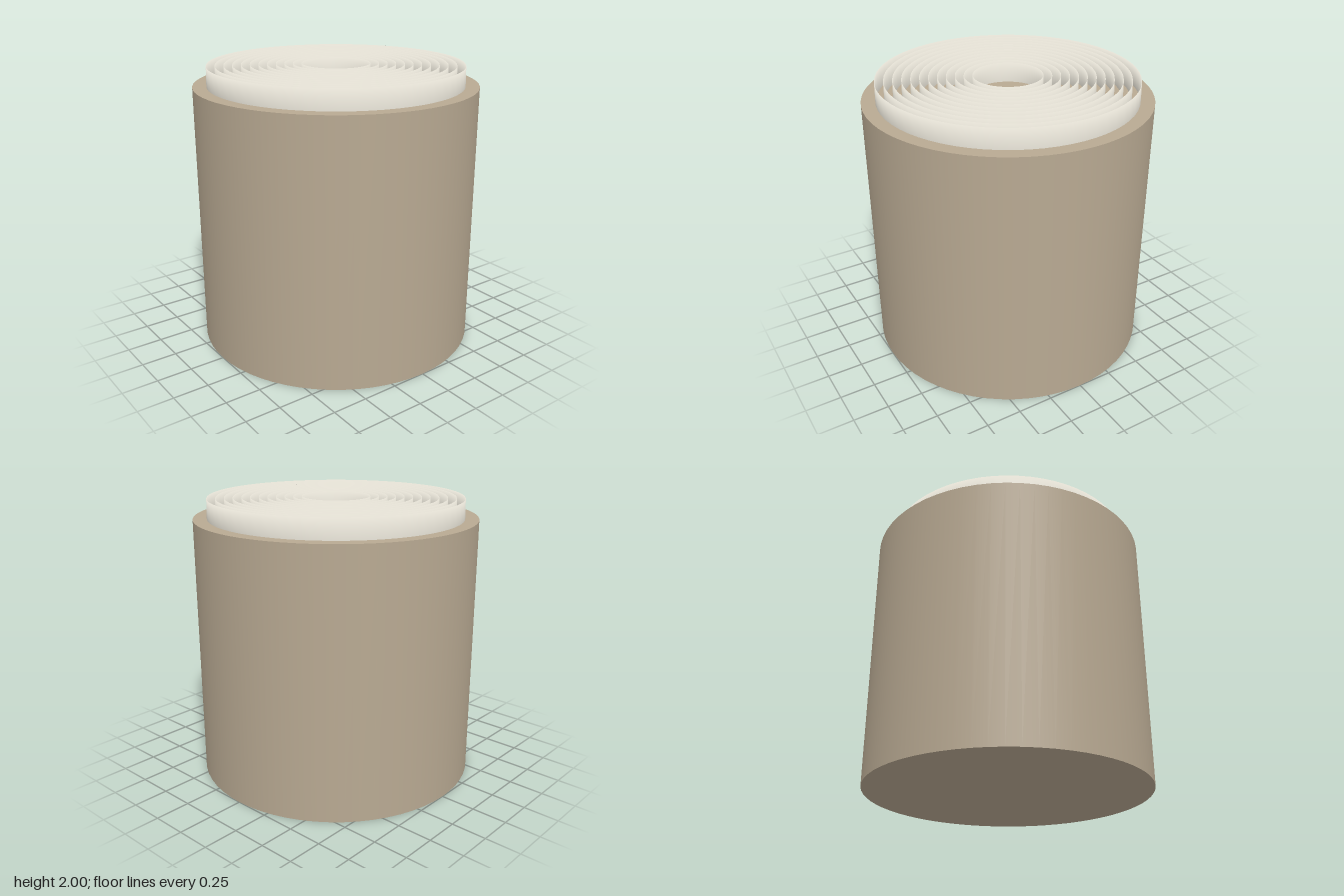
import * as THREE from 'three';

const BODY_TOP = 1.86;
const RING_TOP = 2;

export function createModel() {
  const model = new THREE.Group();
  model.name = 'ringedDrum';
  const bodyMaterial = new THREE.MeshStandardMaterial({ color: 0xb8a992 });
  const ringMaterial = new THREE.MeshStandardMaterial({ color: 0xe8e4d8, side: THREE.DoubleSide });

  // Solid drum with closed ends
  const body = new THREE.Mesh(new THREE.CylinderGeometry(1, 1, BODY_TOP, 64), bodyMaterial);
  body.name = 'body';
  body.position.y = BODY_TOP / 2;
  model.add(body);

  // Concentric thin upright rings, their normals rolling smoothly over the top edge
  const rings = new THREE.Group();
  rings.name = 'rings';
  const half = 0.003;
  for (let i = 0; i < 12; i++) {
    const r = 0.24 + i * 0.06;
    const profile = [
      new THREE.Vector2(r + half, BODY_TOP),
      new THREE.Vector2(r, RING_TOP),
      new THREE.Vector2(r - half, BODY_TOP),
    ];
    const ring = new THREE.Mesh(new THREE.LatheGeometry(profile, 64), ringMaterial);
    ring.name = `ring${i + 1}`;
    rings.add(ring);
  }
  model.add(rings);
  return model;
}
